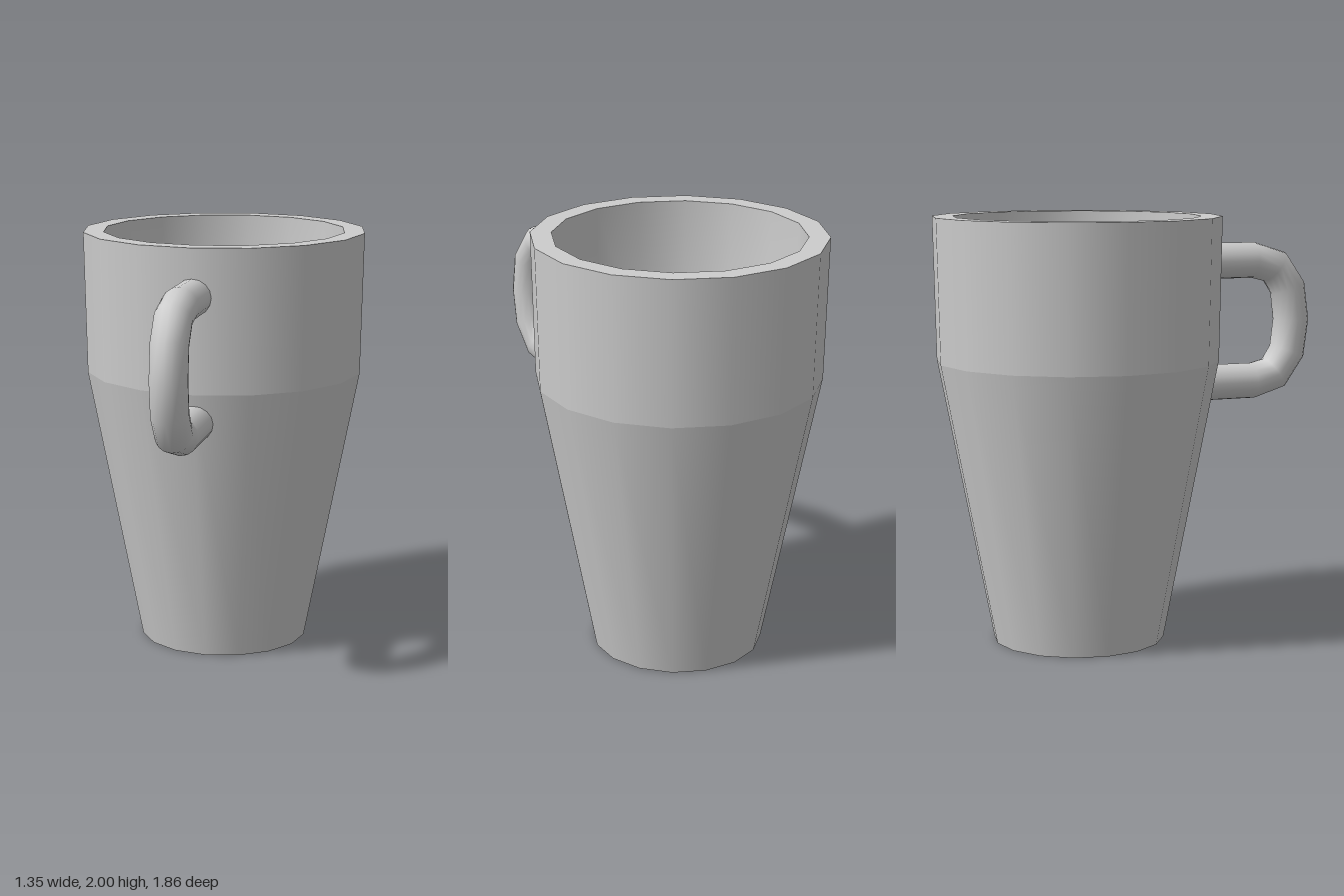
import * as THREE from 'three';

const SIDES = 16;
const CUP_Z = -0.255;

// Curve that passes straight through its corner points, for a faceted bend
class CornerPath extends THREE.Curve {
  constructor(points) {
    super();
    this.points = points;
  }
  getPoint(t, target = new THREE.Vector3()) {
    const n = this.points.length - 1;
    const i = Math.min(Math.floor(t * n + 1e-6), n - 1);
    return target.lerpVectors(this.points[i], this.points[i + 1], t * n - i);
  }
  getPointAt(t, target) {
    return this.getPoint(t, target);
  }
  getTangentAt(t, target = new THREE.Vector3()) {
    const n = this.points.length - 1;
    const i = Math.round(t * n);
    const a = this.points[Math.max(i - 1, 0)];
    const b = this.points[Math.min(i + 1, n)];
    return target.subVectors(b, a).normalize();
  }
}

export function createModel() {
  const model = new THREE.Group();
  model.name = 'mug';
  const ceramic = new THREE.MeshStandardMaterial({ color: 0xcccccc });
  ceramic.name = 'light grey ceramic';

  // Cup: one turned surface per band, so the edges between bands stay sharp
  const cup = new THREE.Group();
  cup.name = 'cup';
  cup.position.z = CUP_Z;
  model.add(cup);

  const bands = {
    baseUnderside: [[0, 0.1], [0.326, 0.1]],
    footRecess: [[0.326, 0.1], [0.405, 0]],
    lowerWall: [[0.405, 0], [0.662, 1.33]],
    upperWall: [[0.662, 1.33], [0.675, 2]],
    rim: [[0.675, 2], [0.578, 2]],
    interior: [[0.578, 2], [0.565, 1.33], [0.33, 0.2], [0, 0.2]],
  };
  for (const [name, profile] of Object.entries(bands)) {
    const points = profile.map(([r, y]) => new THREE.Vector2(r, y));
    const mesh = new THREE.Mesh(new THREE.LatheGeometry(points, SIDES), ceramic);
    mesh.name = name;
    cup.add(mesh);
  }

  // Handle: upper half of the bend, mirrored about its middle height
  const middle = 1.483;
  const upper = [[0.33, 0.292], [0.64, 0.292], [0.755, 0.258], [0.825, 0.155]];
  const path = [
    ...upper,
    [0.845, 0],
    ...upper.map(([z, h]) => [z, -h]).reverse(),
  ].map(([z, h]) => new THREE.Vector3(0, middle + h, z));
  const handle = new THREE.Mesh(
    new THREE.TubeGeometry(new CornerPath(path), path.length - 1, 0.086, 16),
    ceramic
  );
  handle.name = 'handle';
  model.add(handle);

  return model;
}
